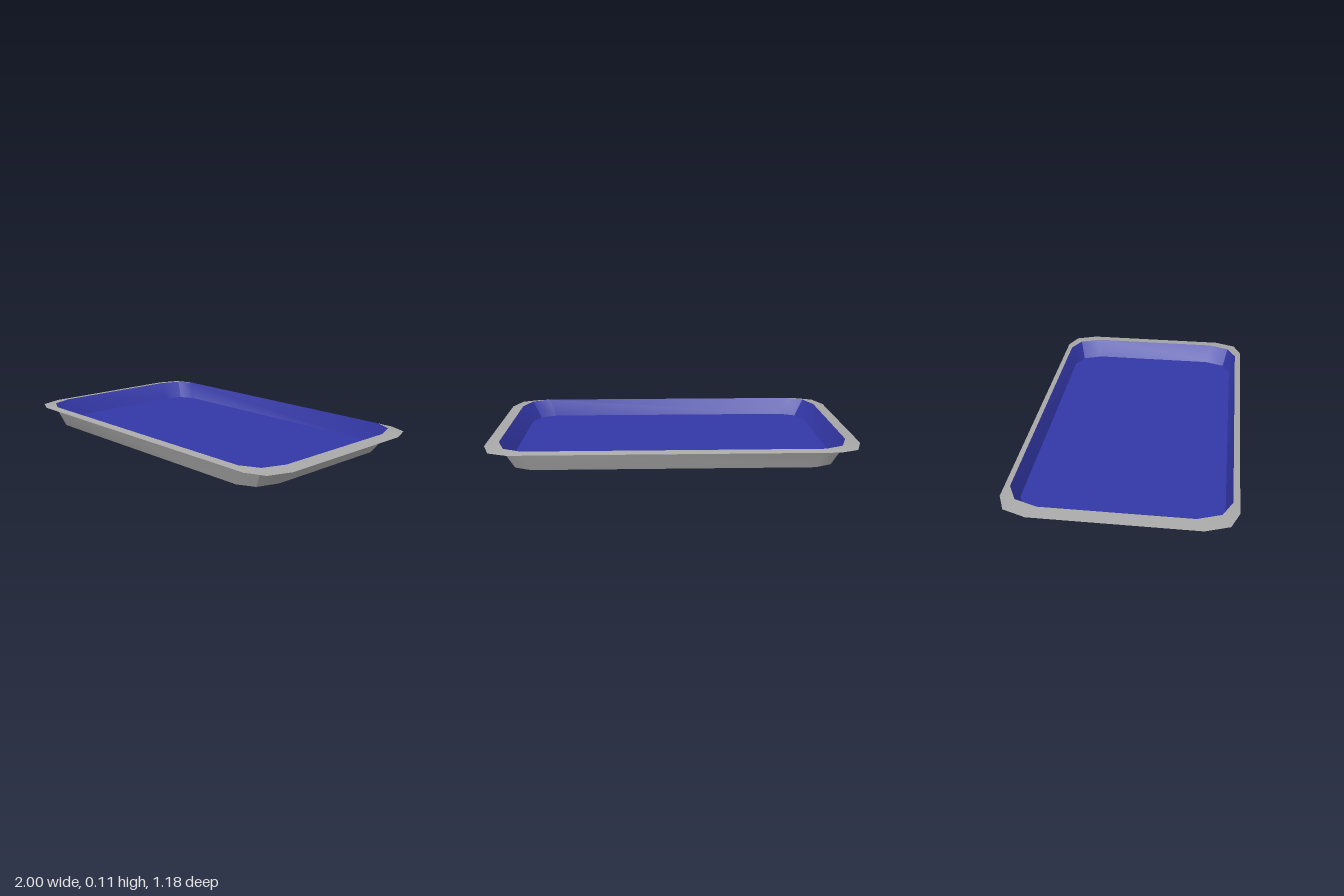
import * as THREE from 'three';
import { toCreasedNormals } from 'three/addons/utils/BufferGeometryUtils.js';

const grey = new THREE.MeshStandardMaterial({ color: 0xa7a7a7 });
grey.name = 'grey metal';
const blue = new THREE.MeshStandardMaterial({ color: 0x3337a6 });
blue.name = 'blue lining';

// Mirror three corner points [x, z] into a closed twelve-point outline at height y
function ring(corner, y) {
  const back = [...corner].reverse();
  return [
    ...corner,
    ...back.map(([x, z]) => [-x, z]),
    ...corner.map(([x, z]) => [-x, -z]),
    ...back.map(([x, z]) => [x, -z]),
  ].map(([x, z]) => new THREE.Vector3(x, y, z));
}

// Band of faces between two outlines; faces outward when a is below b
function band(a, b) {
  const points = [];
  a.forEach((p, i) => {
    const j = (i + 1) % a.length;
    points.push(p, b[i], b[j], p, b[j], a[j]);
  });
  const geometry = new THREE.BufferGeometry().setFromPoints(points);
  geometry.computeVertexNormals();
  return toCreasedNormals(geometry, 0.55);
}

// Flat panel filling an outline, facing up or down
function panel(outline, facing) {
  const shape = new THREE.Shape(outline.map((p) => new THREE.Vector2(p.x, p.z)));
  return new THREE.ShapeGeometry(shape).rotateX(-facing * Math.PI / 2).translate(0, outline[0].y, 0);
}

export function createModel() {
  const tray = new THREE.Group();
  tray.name = 'tray';

  // Outlines of the shell, the rim and the lining inside the shell
  const base = ring([[0.872, 0.367], [0.832, 0.482], [0.742, 0.526]], 0);
  const shellTop = ring([[0.933, 0.387], [0.888, 0.51], [0.787, 0.56]], 0.105);
  const edge = ring([[1, 0.425], [0.955, 0.548], [0.855, 0.59]], 0.1);
  const lip = ring([[0.929, 0.385], [0.884, 0.506], [0.785, 0.556]], 0.111);
  const floor = ring([[0.872, 0.365], [0.831, 0.48], [0.741, 0.524]], 0.01);

  const add = (name, geometry, material) => {
    const mesh = new THREE.Mesh(geometry, material);
    mesh.name = name;
    tray.add(mesh);
  };

  // Outer shell
  add('outerWall', band(base, shellTop), grey);
  add('underside', panel(base, -1), grey);
  // Sloping rim
  add('rimTop', band(edge, lip), grey);
  add('rimUnderside', band(shellTop, edge), grey);
  // Inner lining
  add('innerWall', band(lip, floor), blue);
  add('innerFloor', panel(floor, 1), blue);

  return tray;
}
